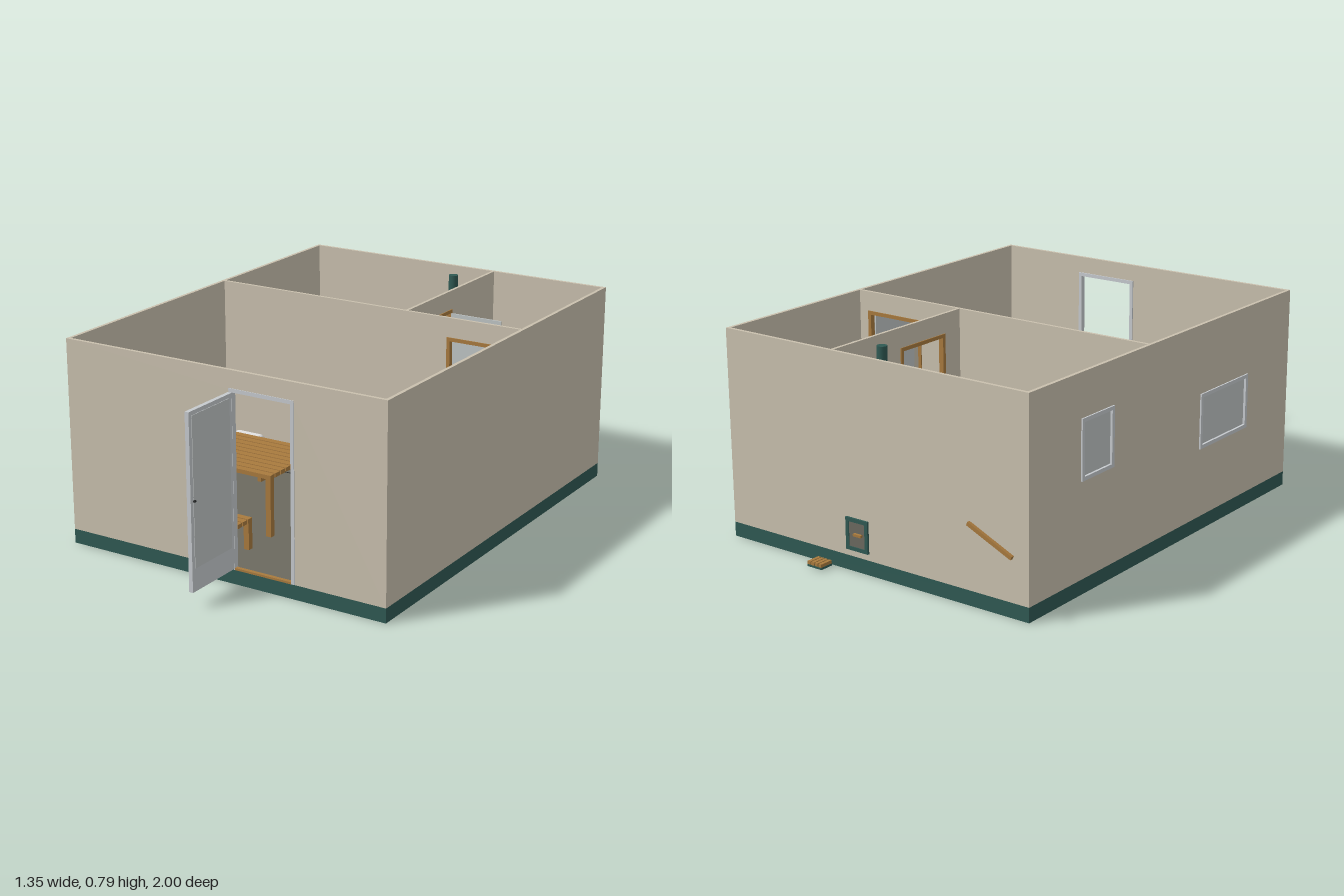
import * as THREE from 'three';
import { RoundedBoxGeometry } from 'three/addons/geometries/RoundedBoxGeometry.js';

const mat = (name, color) => Object.assign(new THREE.MeshStandardMaterial({ color }), { name });

export function createModel() {
  const M = {
    wall: mat('plaster', 0xc9c0ae),
    base: mat('dark teal', 0x2f5953),
    wood: mat('wood', 0xa87a3e),
    floor: mat('floor tile', 0x6b695f),
    frame: mat('painted frame', 0xc6cace),
    glass: mat('glass', 0xbfc4c4),
    white: mat('white', 0xe2e2e2),
    dark: mat('dark metal', 0x2a2c2c),
  };
  const model = new THREE.Group();
  const FLOOR = 0.06, TOP = 0.79;

  const add = (name, geo, m, x = 0, y = 0, z = 0, parent = model) => {
    const mesh = new THREE.Mesh(geo, m);
    mesh.name = name;
    mesh.position.set(x, y, z);
    parent.add(mesh);
    return mesh;
  };
  const group = (name, parent = model) => {
    const g = new THREE.Group();
    g.name = name;
    parent.add(g);
    return g;
  };
  // box given by its limits
  const box = (name, m, [x0, x1], [y0, y1], [z0, z1], parent) =>
    add(name, new THREE.BoxGeometry(x1 - x0, y1 - y0, z1 - z0), m,
      (x0 + x1) / 2, (y0 + y1) / 2, (z0 + z1) / 2, parent);
  const cyl = (name, m, r0, r1, h, x, y, z, parent, open = false) =>
    add(name, new THREE.CylinderGeometry(r0, r1, h, 20, 1, open), m, x, y + h / 2, z, parent);

  // upright wall from a to b with rectangular holes [a0, a1, y0, y1]
  const wall = (name, alongZ, a, b, at, t, holes = []) => {
    const rect = (s, x0, x1, y0, y1) =>
      s.moveTo(x0, y0).lineTo(x1, y0).lineTo(x1, y1).lineTo(x0, y1).closePath();
    const shape = rect(new THREE.Shape(), a, b, 0.055, TOP);
    for (const h of holes) shape.holes.push(rect(new THREE.Path(), ...h));
    const geo = new THREE.ExtrudeGeometry(shape, { depth: t, bevelEnabled: false });
    if (alongZ) geo.rotateY(-Math.PI / 2);
    return add(name, geo, M.wall, alongZ ? at + t : 0, 0, alongZ ? 0 : at);
  };
  // rectangular border of four bars, lying across x or z
  const border = (name, m, alongZ, a0, a1, y0, y1, d0, d1, w, sill = true) => {
    const g = group(name);
    const bar = (s, y) => alongZ ? box('bar', m, [d0, d1], y, s, g) : box('bar', m, s, y, [d0, d1], g);
    bar([a0, a0 + w], [y0, y1]);
    bar([a1 - w, a1], [y0, y1]);
    bar([a0 + w, a1 - w], [y1 - w, y1]);
    if (sill) bar([a0 + w, a1 - w], [y0, y0 + w]);
    return g;
  };

  // ground slab, floor and shell
  box('foundation', M.base, [-0.67, 0.67], [0, 0.055], [-0.93, 0.75]);
  box('floor', M.floor, [-0.657, 0.657], [0.055, FLOOR], [-0.917, 0.737]);
  box('floorJoint', M.dark, [-0.657, 0.657], [FLOOR, FLOOR + 0.001], [-0.158, -0.153]);
  const windows = [[-0.64, -0.45, 0.41, 0.63], [0.11, 0.44, 0.32, 0.53]];
  wall('frontWall', false, -0.67, 0.67, 0.737, 0.013, [[0.045, 0.3, 0.056, 0.72]]);
  wall('backWall', false, -0.67, 0.67, -0.93, 0.013);
  wall('rightWall', true, -0.917, 0.737, -0.67, 0.013, windows);
  wall('leftWall', true, -0.917, 0.737, 0.657, 0.013);
  wall('crossWall', false, -0.657, 0.657, -0.226, 0.012, [[0.36, 0.61, 0.056, 0.71]]);
  wall('roomDivider', true, -0.917, -0.226, 0.17, 0.012, [[-0.56, -0.32, 0.056, 0.71]]);

  // windows
  for (const [a, b, y0, y1] of windows) {
    border('windowFrame', M.frame, true, a, b, y0, y1, -0.676, -0.65, 0.014);
    box('windowPane', M.glass, [-0.667, -0.661], [y0 + 0.014, y1 - 0.014], [a + 0.014, b - 0.014]);
  }

  // entrance frame with its door standing open
  border('entranceFrame', M.frame, false, 0.04, 0.305, 0.056, 0.725, 0.732, 0.753, 0.014, false);
  box('threshold', M.wood, [0.054, 0.291], [0.055, 0.063], [0.737, 0.752]);
  box('entranceDoor', M.frame, [0.037, 0.053], [0.06, 0.71], [0.753, 1.0]);
  for (const x of [0.037, 0.053])
    box('doorPanel', M.glass, [x - 0.002, x + 0.002], [0.145, 0.695], [0.768, 0.985]);
  box('doorHandle', M.dark, [0.03, 0.06], [0.387, 0.394], [0.978, 0.986]);

  // inner doors: timber frames, glass leaves open
  border('crossDoorFrame', M.wood, false, 0.355, 0.615, FLOOR, 0.715, -0.23, -0.21, 0.014, false);
  border('steamDoorFrame', M.wood, true, -0.565, -0.315, FLOOR, 0.715, 0.166, 0.186, 0.014, false);
  box('crossDoorLeaf', M.glass, [0.594, 0.6], [0.065, 0.7], [-0.21, 0.015]);
  box('steamDoorLeaf', M.glass, [0.186, 0.405], [0.065, 0.7], [-0.56, -0.554]);
  box('crossDoorHandle', M.dark, [0.585, 0.609], [0.36, 0.41], [-0.02, -0.013]);
  box('steamDoorHandle', M.dark, [0.375, 0.382], [0.36, 0.41], [-0.569, -0.545]);

  // row of slats; legs reach the floor when asked for
  const slats = (name, [x0, x1], [z0, z1], y, n, alongX, legs = true, t = 0.016) => {
    const g = group(name), gap = 0.006;
    const [s0, s1] = alongX ? [z0, z1] : [x0, x1];
    const p = (s1 - s0 + gap) / n;
    for (let i = 0; i < n; i++) {
      const s = [s0 + i * p, s0 + (i + 1) * p - gap];
      box('slat', M.wood, alongX ? [x0, x1] : s, [y - t, y], alongX ? s : [z0, z1], g);
    }
    // cross bearers under the slats
    for (const f of [0.08, 0.92]) {
      const c = alongX ? x0 + f * (x1 - x0) : z0 + f * (z1 - z0);
      const s = [c - 0.008, c + 0.008], yy = [y - t - 0.015, y - t];
      if (legs) box('bearer', M.wood, alongX ? s : [x0, x1], yy, alongX ? [z0, z1] : s, g);
    }
    if (legs) for (const x of [x0, x1 - 0.022]) for (const z of [z0, z1 - 0.022])
      box('leg', M.wood, [x, x + 0.022], [FLOOR, y - t], [z, z + 0.022], g);
    return g;
  };

  // day room: table, two benches with cushions, cupboard
  slats('table', [-0.605, 0], [0.11, 0.445], 0.3, 10, true);
  for (const z of [-0.085, 0.64]) {
    slats('bench', [-0.605, 0], [z - 0.075, z + 0.075], 0.18, 5, true);
    for (const x of [-0.485, -0.122])
      add('cushion', new RoundedBoxGeometry(0.13, 0.03, 0.11, 4, 0.015), M.white, x, 0.195, z);
  }
  const jug = [[0, 0], [0.02, 0], [0.024, 0.02], [0.014, 0.04], [0.018, 0.052], [0.014, 0.05], [0, 0.046]];
  add('jug', new THREE.LatheGeometry(jug.map(p => new THREE.Vector2(...p)), 20), M.white, -0.305, 0.3, 0.272);
  for (const [x, z] of [[-0.345, 0.3], [-0.27, 0.3], [-0.28, 0.31]])
    cyl('cup', M.white, 0.01, 0.008, 0.022, x, 0.3, z);
  box('cupboard', M.wood, [0.335, 0.632], [FLOOR, 0.37], [0.53, 0.735]);
  box('cupboardTray', M.white, [0.445, 0.525], [0.37, 0.392], [0.59, 0.67]);
  cyl('cupboardKnob', M.dark, 0.006, 0.006, 0.012, 0.41, 0.27, 0.524);

  // wash room: two benches, trays and a bucket
  slats('washBench', [0.27, 0.57], [-0.915, -0.8], 0.19, 4, true);
  box('washTray', M.white, [0.42, 0.505], [0.19, 0.215], [-0.9, -0.82]);
  slats('sideBench', [0.54, 0.655], [-0.715, -0.385], 0.19, 4, false);
  box('sideTray', M.white, [0.58, 0.652], [0.19, 0.215], [-0.585, -0.512]);
  const bucket = group('bucket');
  cyl('pail', M.wood, 0.045, 0.036, 0.08, 0.24, FLOOR, -0.71, bucket);
  cyl('water', M.dark, 0.036, 0.036, 0.002, 0.24, FLOOR + 0.08, -0.71, bucket);
  add('rim', new THREE.TorusGeometry(0.042, 0.005, 8, 24).rotateX(Math.PI / 2), M.wood, 0.24, FLOOR + 0.08, -0.71, bucket);
  box('ladle', M.wood, [0.235, 0.285], [0.145, 0.151], [-0.715, -0.708], bucket);

  // steam room: stepped benches and duckboards
  slats('upperBackBench', [-0.655, -0.25], [-0.915, -0.685], 0.33, 7, true);
  slats('upperSideBench', [-0.655, -0.37], [-0.68, -0.23], 0.33, 9, false);
  slats('lowerBackBench', [-0.37, -0.25], [-0.68, -0.585], 0.2, 3, true);
  slats('lowerSideBench', [-0.33, -0.15], [-0.58, -0.37], 0.2, 5, false);
  slats('innerBench', [-0.245, -0.155], [-0.915, -0.585], 0.2, 3, false);
  slats('step', [-0.355, -0.065], [-0.365, -0.23], 0.13, 4, true);
  for (const [z0, z1] of [[-0.915, -0.74], [-0.735, -0.41], [-0.4, -0.23]])
    slats('duckboard', [z0 > -0.41 ? -0.06 : -0.148, z0 < -0.8 ? -0.01 : 0.168],
      [z0, z1], FLOOR + 0.014, z0 < -0.8 ? 5 : 10, false, false, 0.014);

  // ladle pail on the upper bench
  cyl('steamPail', M.base, 0.032, 0.026, 0.05, -0.56, 0.33, -0.56);
  add('pailHandle', new THREE.TorusGeometry(0.032, 0.003, 6, 20, Math.PI), M.dark, -0.56, 0.38, -0.56);
  box('steamLadle', M.dark, [-0.6, -0.52], [0.382, 0.387], [-0.562, -0.556]);

  // stove with stones, flue and stoking tunnel to the outside
  const stove = group('stove');
  box('firebox', M.base, [0, 0.14], [FLOOR, 0.24], [-0.875, -0.74], stove);
  box('tunnel', M.base, [0.025, 0.11], [0.08, 0.2], [-0.925, -0.875], stove);
  for (let i = 0; i < 16; i++) {
    const x = 0.025 + (i % 4) * 0.03, z = -0.85 + Math.floor(i / 4) * 0.03;
    add('stone', new THREE.DodecahedronGeometry(0.016), i % 3 ? M.base : M.dark, x, 0.245, z, stove).rotation.set(i, i * 2, 0);
  }
  cyl('flue', M.base, 0.019, 0.019, 0.55, 0.07, 0.24, -0.78, stove);

  // stoking hatch on the back wall
  border('hatchFrame', M.base, false, 0.02, 0.12, 0.08, 0.2, -0.938, -0.928, 0.014);
  box('hatchDoor', M.floor, [0.034, 0.106], [0.094, 0.186], [-0.935, -0.929]);
  box('hatchHandle', M.wood, [0.045, 0.08], [0.138, 0.147], [-0.946, -0.935]);

  // boot scraper and loose stick outside
  box('scraperBase', M.base, [0.183, 0.25], [0.004, 0.012], [-1.0, -0.945]);
  for (let i = 0; i < 4; i++)
    box('scraperSlat', M.wood, [0.184 + i * 0.017, 0.197 + i * 0.017], [0.012, 0.024], [-1.0, -0.945]);
  add('stick', new THREE.BoxGeometry(0.198, 0.014, 0.012), M.wood, -0.558, 0.285, -0.993).rotation.z = 0.42;

  return model;
}
